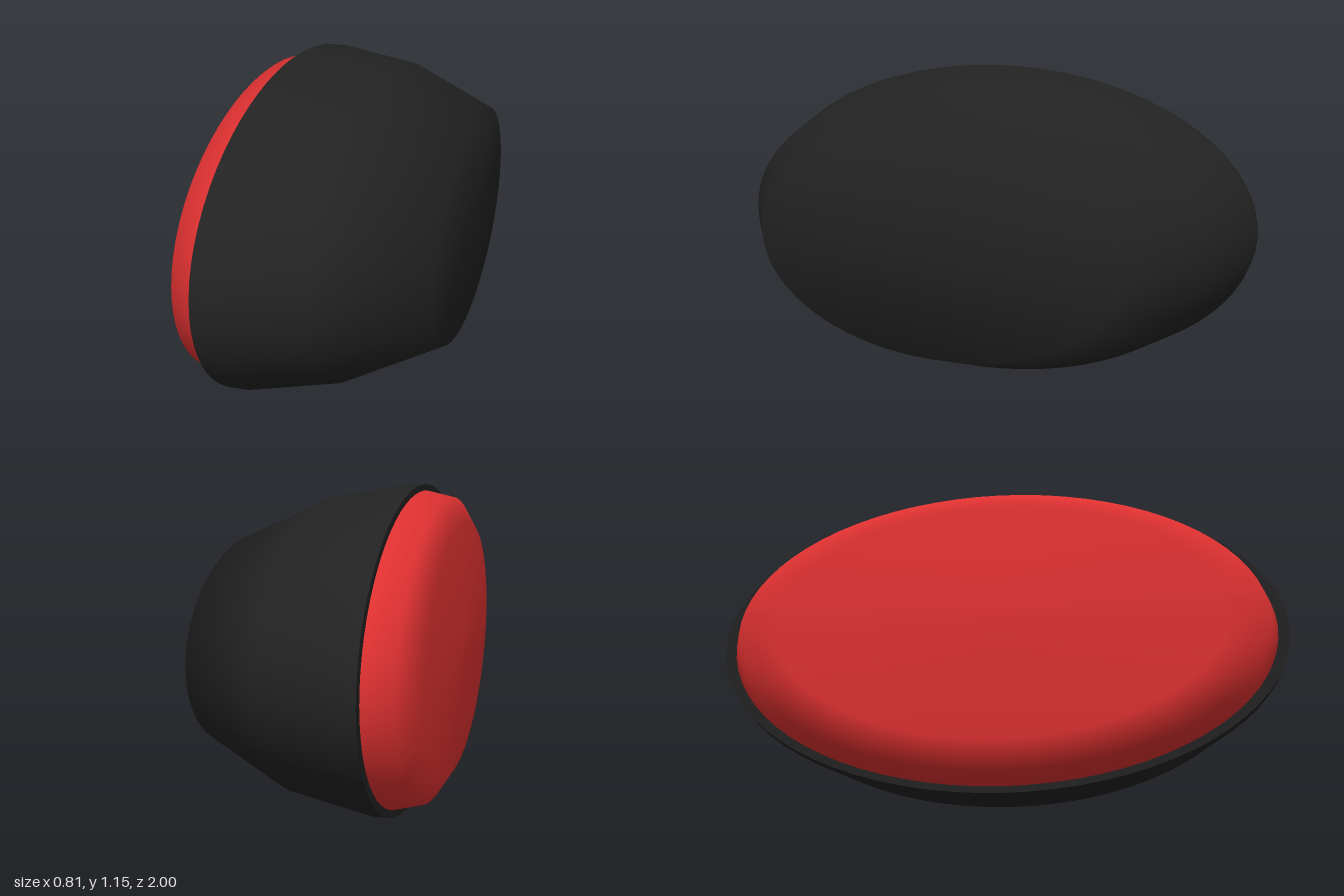
import * as THREE from 'three';

const FLATTEN = 0.577; // height of the oval relative to its width

// Oval solid swept around the x axis from [x, radius] pairs, ordered along +x
function ovalSolid(name, profile, material) {
  const points = profile.map(([x, r]) => new THREE.Vector2(r, x));
  const geometry = new THREE.LatheGeometry(points, 72);
  geometry.rotateZ(-Math.PI / 2);
  geometry.normalizeNormals();
  geometry.scale(1, FLATTEN, 1);
  const mesh = new THREE.Mesh(geometry, material);
  mesh.name = name;
  mesh.position.y = FLATTEN;
  return mesh;
}

export function createModel() {
  const black = new THREE.MeshStandardMaterial({ color: 0x222222 });
  black.name = 'black';
  const red = new THREE.MeshStandardMaterial({ color: 0xe03131 });
  red.name = 'red';

  const model = new THREE.Group();
  model.name = 'ovalLamp';

  // Housing: flat rim with a sharp edge, tapering to a flat end
  model.add(ovalSolid('housing', [
    [-0.24, 0.9], [-0.24, 1], [-0.24, 1], [-0.19, 1],
    [0.09, 0.912], [0.405, 0.672], [0.405, 0],
  ], black));

  // Lens: shallow dome set inside the rim
  model.add(ovalSolid('lens', [
    [-0.405, 0], [-0.39, 0.77], [-0.335, 0.922], [-0.235, 0.962],
  ], red));

  return model;
}
